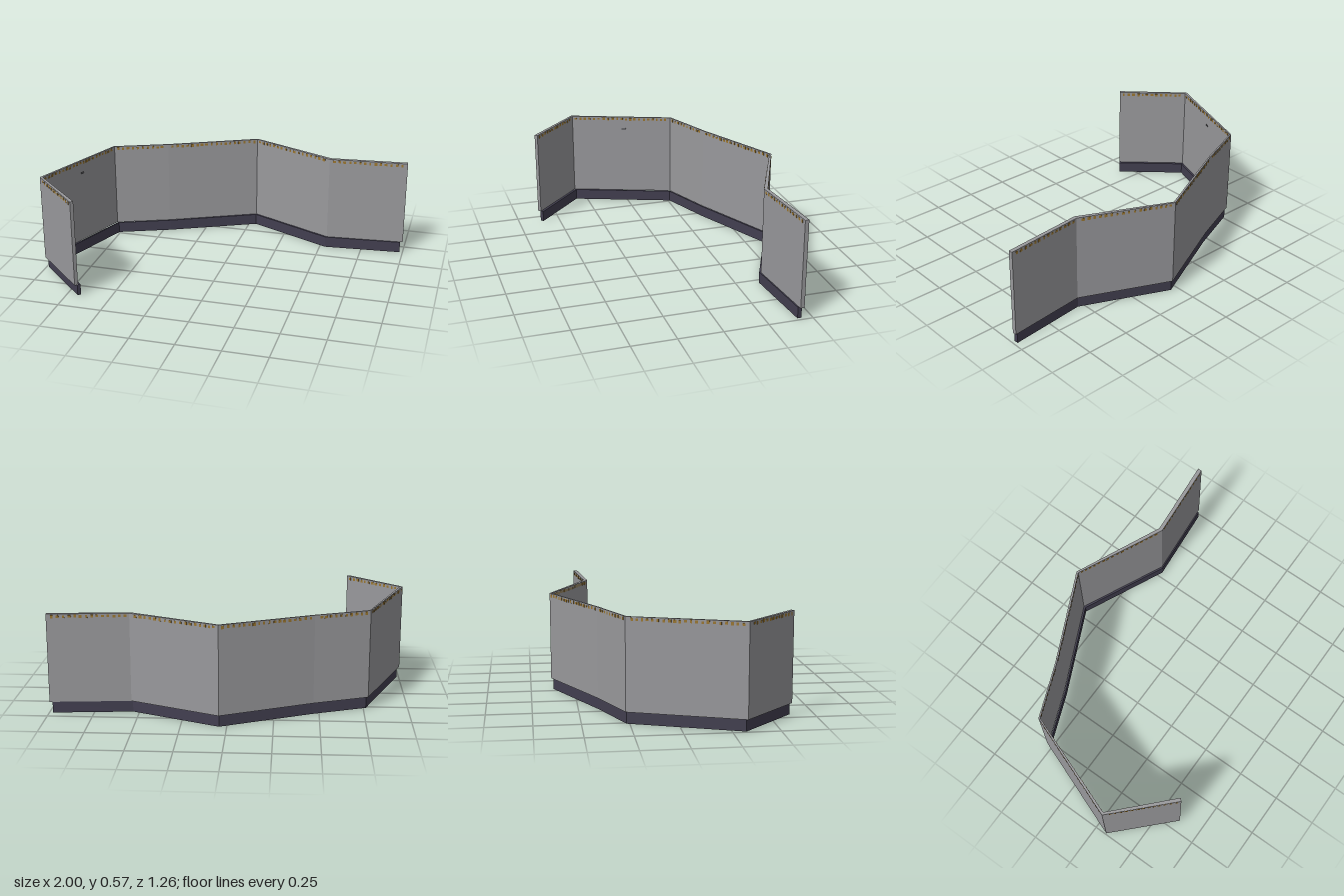
import * as THREE from 'three';

const wallGrey = new THREE.MeshStandardMaterial({ color: 0x99999c });
const baseSlate = new THREE.MeshStandardMaterial({ color: 0x423f50 });
const trimGold = new THREE.MeshStandardMaterial({ color: 0x9a7630 });
const markDark = new THREE.MeshStandardMaterial({ color: 0x3a3a3e });
wallGrey.name = 'wall grey';
baseSlate.name = 'base slate';
trimGold.name = 'trim gold';
markDark.name = 'mark dark';

// Plan of the wall: x, z, thickness
const PLAN = [
  [-0.69, 0.62, 0.02], [-0.994, 0.326, 0.014], [-0.773, -0.269, 0.008], [-0.465, -0.39, 0.009],
  [0.043, -0.626, 0.011], [0.542, -0.397, 0.021], [0.996, -0.438, 0.023],
];
const BASE_TOP = 0.065, WALL_TOP = 0.568;

// Mitred band following the plan, extruded upwards
function band(y0, y1, sx, sz) {
  const pts = PLAN.map(([x, z]) => new THREE.Vector2(x * sx, -z * sz));
  const left = [], right = [];
  pts.forEach((p, i) => {
    const a = pts[Math.max(i - 1, 0)], b = pts[Math.min(i + 1, pts.length - 1)];
    const d1 = (i > 0 ? p.clone().sub(a) : b.clone().sub(p)).normalize();
    const d2 = (i < pts.length - 1 ? b.clone().sub(p) : d1.clone()).normalize();
    const t = d1.clone().add(d2).normalize();
    const n = new THREE.Vector2(-t.y, t.x).multiplyScalar(PLAN[i][2] / 2 / t.dot(d1));
    left.push(p.clone().add(n));
    right.unshift(p.clone().sub(n));
  });
  const geo = new THREE.ExtrudeGeometry(new THREE.Shape([...left, ...right]),
    { depth: y1 - y0, bevelEnabled: false });
  return geo.rotateX(-Math.PI / 2).translate(0, y0, 0);
}

function add(group, name, geometry, material) {
  const mesh = new THREE.Mesh(geometry, material);
  mesh.name = name;
  group.add(mesh);
  return mesh;
}

// Small seeded generator for the uneven trim
function seeded(seed) {
  return () => (seed = (seed * 16807) % 2147483647) / 2147483647;
}

export function createModel() {
  const model = new THREE.Group();
  model.name = 'foldedWall';
  add(model, 'base', band(0, BASE_TOP, 0.985, 0.981), baseSlate);
  add(model, 'wall', band(BASE_TOP, WALL_TOP, 1, 1), wallGrey);

  // Broken gold trim just below the top edge, showing on both sides
  const trim = new THREE.Group();
  trim.name = 'topTrim';
  model.add(trim);
  const rand = seeded(17);
  const unit = new THREE.BoxGeometry(1, 1, 1);
  for (let i = 0; i < PLAN.length - 1; i++) {
    const [x0, z0, t0] = PLAN[i], [x1, z1, t1] = PLAN[i + 1];
    const length = Math.hypot(x1 - x0, z1 - z0);
    const angle = -Math.atan2(z1 - z0, x1 - x0);
    for (let s = 0.025; s < length - 0.02; s += 0.026 + rand() * 0.008) {
      const k = s / length;
      const dash = add(trim, 'trimDash', unit, trimGold);
      dash.position.set(x0 + (x1 - x0) * k, 0.552 + rand() * 0.004, z0 + (z1 - z0) * k);
      dash.rotation.y = angle;
      dash.scale.set(0.01 + rand() * 0.008, 0.012 + rand() * 0.006, t0 + (t1 - t0) * k + 0.003);
    }
  }

  // Two fine marks on the inner face of the side panel
  const [bx, bz] = PLAN[1], [cx, cz] = PLAN[2];
  const k = (0.013 - bz) / (cz - bz);
  for (const y of [0.487, 0.494]) {
    const mark = add(model, 'wallMark', unit, markDark);
    mark.position.set(bx + (cx - bx) * k + 0.006, y, 0.013 + 0.002);
    mark.rotation.y = -Math.atan2(cz - bz, cx - bx);
    mark.scale.set(0.028, 0.002, 0.003);
  }
  return model;
}
